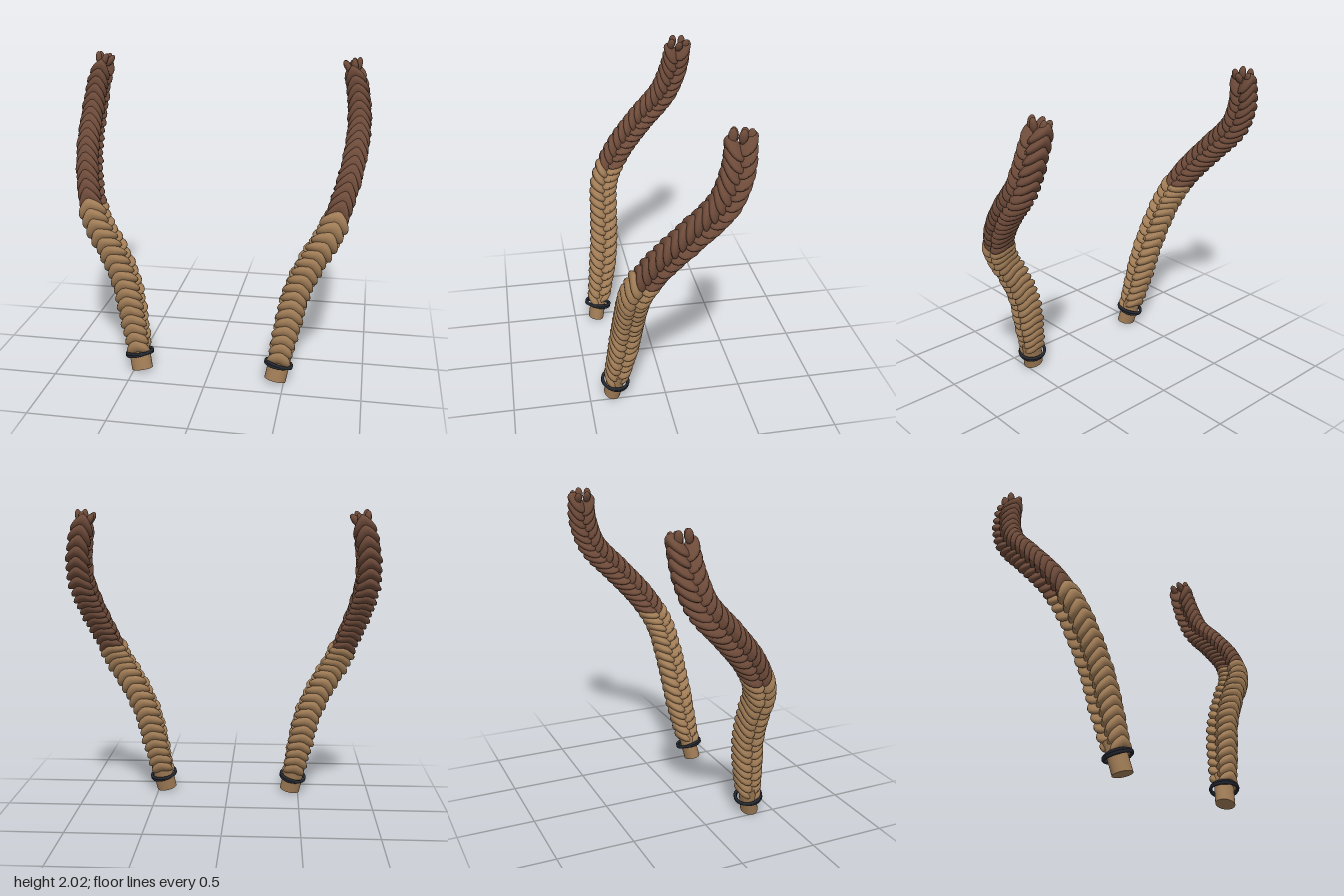
import * as THREE from 'three';
import { mergeGeometries } from 'three/addons/utils/BufferGeometryUtils.js';

const mat = (name, color) => {
  const m = new THREE.MeshStandardMaterial({ color });
  m.name = name;
  return m;
};

// Centre line of one braid, from the tie up to the loose end
const PATH = [
  [0.465, 0.15, 0.325], [0.515, 0.4, 0.285], [0.56, 0.6, 0.26], [0.645, 0.8, 0.245],
  [0.755, 1.0, 0.22], [0.825, 1.2, 0.11], [0.875, 1.4, -0.06], [0.895, 1.6, -0.24],
  [0.875, 1.8, -0.315], [0.84, 1.94, -0.33],
];
const TIE = [0.463, 0.125, 0.33];
const ROWS = 34;
const COLOUR_CHANGE = 0.5;

// One plump lock: an ellipsoid swept down towards the seams on either side
function lock(halfWidth, halfHeight, halfDepth, offset, droop, lean) {
  const g = new THREE.SphereGeometry(1, 18, 12);
  const p = g.attributes.position;
  for (let i = 0; i < p.count; i++) {
    const x = p.getX(i) * halfWidth, z = p.getZ(i) * halfDepth;
    const t = p.getY(i);
    const flare = 1 - 0.15 * t;
    p.setXYZ(i, x * flare, t * halfHeight - droop * Math.abs(x) + lean * z, z * flare + offset);
  }
  g.computeVertexNormals();
  return g;
}

// Right-handed frame at u: y along the braid, z towards its front
function frameAt(curve, u) {
  const y = curve.getTangentAt(u);
  const z = new THREE.Vector3(0, 0, 1).addScaledVector(y, -y.z).normalize();
  const x = new THREE.Vector3().crossVectors(y, z);
  return new THREE.Matrix4().makeBasis(x, y, z).setPosition(curve.getPointAt(u));
}

function createBraid(side, mats) {
  const braid = new THREE.Group();
  braid.name = side > 0 ? 'leftBraid' : 'rightBraid';
  const curve = new THREE.CatmullRomCurve3(PATH.map(([x, y, z]) => new THREE.Vector3(x * side, y, z)));

  // Two columns of locks, front and back, half a step apart
  const lower = [], upper = [];
  for (const face of [1, -1]) {
    for (let i = 0; i < ROWS; i++) {
      const u = Math.min(1, (i + (face > 0 ? 0.5 : 1)) / ROWS);
      const dark = u > COLOUR_CHANGE;
      const s = (0.82 + 0.18 * Math.min(1, u / 0.15)) * (1 - 0.08 * Math.max(0, (u - 0.9) / 0.1));
      const wobble = 1 + 0.04 * Math.sin(i * 2.4 + face);
      const g = lock((dark ? 0.077 : 0.09) * s * wobble, 0.05, 0.062 * s, 0.038 * s,
        dark ? 0.65 : 0.4, dark ? 0.7 : 0.5);
      if (face < 0) g.rotateY(Math.PI);
      g.applyMatrix4(frameAt(curve, u));
      (dark ? upper : lower).push(g);
    }
  }
  const add = (name, geometry, material) => {
    const m = new THREE.Mesh(geometry, material);
    m.name = name;
    braid.add(m);
    return m;
  };
  add('lowerLocks', mergeGeometries(lower), mats.tan);
  add('upperLocks', mergeGeometries(upper), mats.brown);

  // Loose tips at the upper end
  const tips = [];
  for (let i = 0; i < 5; i++) {
    const a = i * 2.5;
    const g = new THREE.SphereGeometry(1, 10, 8).scale(0.022, 0.045, 0.026);
    g.rotateZ(-0.4 * Math.cos(a)).translate(0.04 * Math.cos(a), 0.025, 0.055 * Math.sin(a));
    tips.push(g.applyMatrix4(frameAt(curve, 1)));
  }
  add('looseTips', mergeGeometries(tips), mats.brown);

  // Cut tail below the tie
  const axis = new THREE.Vector3(0.2 * side, 1, -0.2).normalize();
  const turn = new THREE.Quaternion().setFromUnitVectors(new THREE.Vector3(0, 1, 0), axis);
  const tail = add('tail', new THREE.CylinderGeometry(0.07, 0.07, 0.2, 24), mats.tan);
  tail.scale.z = 0.78;
  tail.quaternion.copy(turn);
  tail.position.set(0.443 * side, 0.018, 0.35).addScaledVector(axis, 0.1);

  // Hair tie: two loops crossing each other
  for (const tilt of [0.07, -0.07]) {
    const g = new THREE.TorusGeometry(0.085, 0.01, 10, 40).rotateX(Math.PI / 2).rotateZ(tilt).rotateX(tilt);
    const loop = add('hairTie', g, mats.black);
    loop.quaternion.copy(turn);
    loop.position.set(TIE[0] * side, TIE[1], TIE[2]);
  }
  return braid;
}

export function createModel() {
  const mats = {
    tan: mat('tanHair', 0xa07c56),
    brown: mat('brownHair', 0x6e4b3a),
    black: mat('blackTie', 0x22262e),
  };
  const model = new THREE.Group();
  model.name = 'braids';
  for (const side of [1, -1]) model.add(createBraid(side, mats));
  return model;
}
